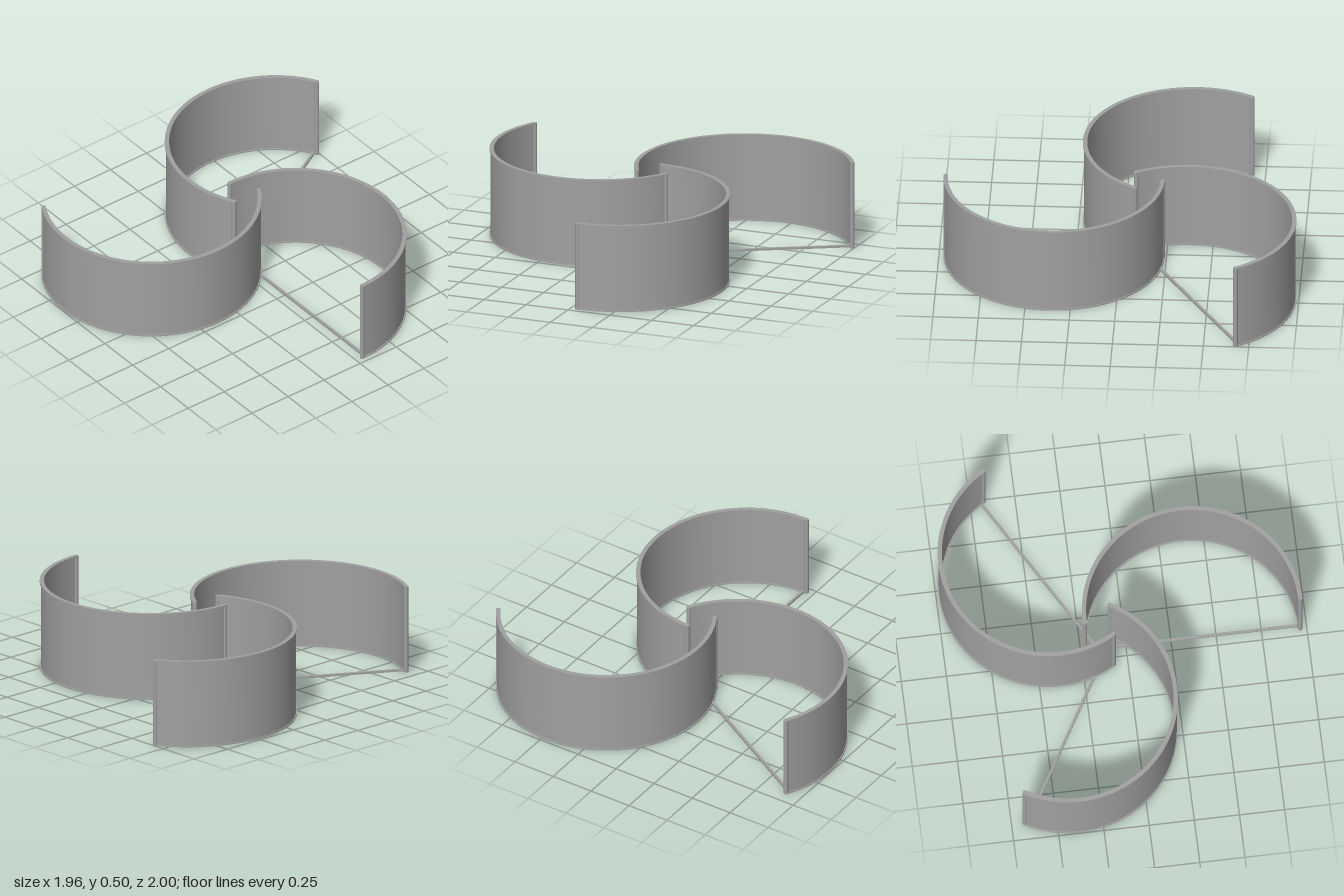
import * as THREE from 'three';
import { toCreasedNormals } from 'three/addons/utils/BufferGeometryUtils.js';

const HEIGHT = 0.495;      // overall height
const RADIUS = 0.596;      // centreline of each half-round blade
const OFFSET = 0.497;      // blade centre from the hub axis
const RIM = 0.008;         // rim thickness
const POST = 0.013;        // end post radius

// Half-round band standing on y = y0, bulging towards -z
function halfBand(width, height, y0) {
  const shape = new THREE.Shape();
  shape.absarc(0, 0, RADIUS + width / 2, 0, Math.PI, false);
  shape.absarc(0, 0, RADIUS - width / 2, Math.PI, 0, true);
  shape.closePath();
  const geometry = new THREE.ExtrudeGeometry(shape, { depth: height, bevelEnabled: false, curveSegments: 48 });
  geometry.rotateX(-Math.PI / 2).translate(OFFSET, y0, 0);
  return toCreasedNormals(geometry, 0.5);
}

export function createModel() {
  const model = new THREE.Group();
  model.name = 'verticalTurbine';
  const metal = new THREE.MeshStandardMaterial({ color: 0xa0a0a0 });
  metal.name = 'grey metal';

  const add = (parent, name, geometry, x = 0, y = 0, z = 0) => {
    const mesh = new THREE.Mesh(geometry, metal);
    mesh.name = name;
    mesh.position.set(x, y, z);
    parent.add(mesh);
  };

  const sheet = halfBand(0.012, HEIGHT - 2 * RIM, RIM);
  const lowerRim = halfBand(0.024, RIM, 0);
  const upperRim = halfBand(0.024, RIM, HEIGHT - RIM);
  const post = new THREE.CylinderGeometry(POST, POST, HEIGHT, 16);
  const strut = new THREE.BoxGeometry(2 * RADIUS, 0.012, 0.015);

  const rotor = new THREE.Group();
  rotor.name = 'rotor';
  rotor.position.set(-0.13, 0, -0.042);
  model.add(rotor);

  // Three identical blades around the hub
  for (let i = 0; i < 3; i++) {
    const blade = new THREE.Group();
    blade.name = 'blade' + (i + 1);
    blade.rotation.y = (i * 2 * Math.PI) / 3;
    add(blade, 'bladeSheet', sheet);
    add(blade, 'lowerRim', lowerRim);
    add(blade, 'upperRim', upperRim);
    add(blade, 'innerPost', post, OFFSET - RADIUS, HEIGHT / 2);
    add(blade, 'outerPost', post, OFFSET + RADIUS, HEIGHT / 2);
    add(blade, 'strut', strut, OFFSET, 0.007, -0.016);
    rotor.add(blade);
  }

  // Flat hub ring with a shaft hole
  const ring = new THREE.Shape().absarc(0, 0, 0.05, 0, 2 * Math.PI, false);
  ring.holes.push(new THREE.Path().absarc(0, 0, 0.02, 0, 2 * Math.PI, true));
  const hub = new THREE.ExtrudeGeometry(ring, { depth: 0.016, bevelEnabled: false, curveSegments: 24 });
  hub.rotateX(-Math.PI / 2);
  add(rotor, 'hub', toCreasedNormals(hub, 0.5));

  return model;
}
